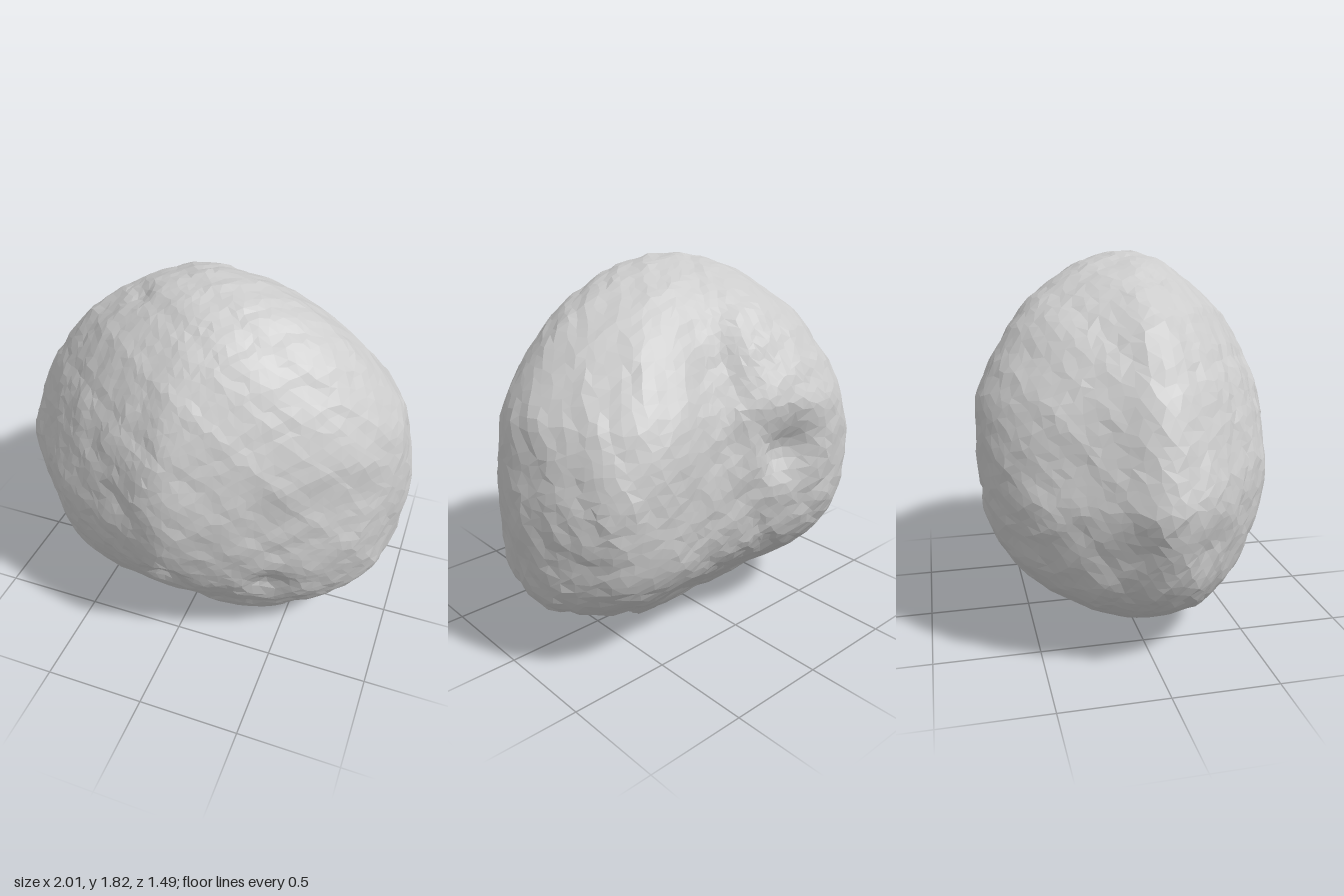
import * as THREE from 'three';

// Outline of the widest level, seen from above, as [x, z]
const PLAN = [
  [0, 0.74], [0.25, 0.66], [0.45, 0.56], [0.65, 0.44], [0.85, 0.26], [0.95, 0.1], [1, -0.1],
  [0.97, -0.3], [0.87, -0.48], [0.75, -0.6], [0.58, -0.64], [0.3, -0.62], [0.1, -0.66],
  [-0.15, -0.72], [-0.35, -0.75], [-0.55, -0.7], [-0.7, -0.58], [-0.8, -0.42], [-0.9, -0.2],
  [-1, 0], [-0.93, 0.18], [-0.8, 0.32], [-0.58, 0.53], [-0.4, 0.61], [-0.2, 0.69],
];

// Reach of the body at each height: [y, -x, +x, +z, -z]
const LEVELS = [
  [0.02, 0.17, 0.36, 0.17, 0.1], [0.05, 0.33, 0.5, 0.24, 0.17], [0.1, 0.48, 0.62, 0.32, 0.23],
  [0.2, 0.69, 0.78, 0.42, 0.34], [0.28, 0.79, 0.87, 0.48, 0.44], [0.34, 0.84, 0.92, 0.53, 0.51],
  [0.4, 0.88, 0.95, 0.58, 0.57], [0.5, 0.92, 0.97, 0.64, 0.64], [0.6, 0.95, 0.98, 0.69, 0.68],
  [0.8, 1, 1, 0.74, 0.72], [1, 0.94, 0.98, 0.74, 0.74], [1.2, 0.86, 0.94, 0.69, 0.73],
  [1.4, 0.73, 0.8, 0.58, 0.62], [1.6, 0.53, 0.59, 0.41, 0.47], [1.7, 0.37, 0.41, 0.28, 0.33],
  [1.76, 0.24, 0.26, 0.19, 0.2],
];

// Face of the big notch under the left side, as [y, x]
const NOTCH = [[0, 0.28], [0.02, 0.32], [0.1, 0.4], [0.16, 0.47], [0.23, 0.6], [0.27, 0.74], [0.31, 0.89], [0.36, 1.1]];

// Craters: [x, y, z, radius, depth]
const CRATERS = [
  [0, 0.5, 0.64, 0.14, 0.055], [0, 0.26, 0.47, 0.14, 0.045], [0.48, 0.49, 0.47, 0.17, 0.065],
  [-0.13, 0.98, -0.7, 0.21, 0.085], [-0.3, 1.68, 0.1, 0.1, 0.025], [-0.2, 0.93, 0.65, 0.14, 0.02],
  [0.4, 1.0, 0.52, 0.14, 0.02], [-0.85, 0.6, 0.2, 0.15, 0.02],
];

const { lerp } = THREE.MathUtils;
const circle = (y) => Math.sqrt(1 - ((y - 0.9) / 0.9) ** 2);
const RATIOS = LEVELS.map(([y, ...reach]) => [y, ...reach.map((r) => r / circle(y))]);

// Value of a column in a table sorted by height
function lookUp(table, y, column) {
  const i = table.findIndex((row) => row[0] > y);
  if (i === 0) return table[0][column];
  if (i < 0) return table[table.length - 1][column];
  const [a, b] = [table[i - 1], table[i]];
  return lerp(a[column], b[column], (y - a[0]) / (b[0] - a[0]));
}

// Radius of the plan outline for every degree around the y axis
function planRadii() {
  const points = new THREE.CatmullRomCurve3(PLAN.map(([x, z]) => new THREE.Vector3(x, 0, z)), true).getPoints(1440);
  const radii = [];
  for (let d = 0; d < 360; d++) {
    const c = Math.cos((d * Math.PI) / 180);
    const s = Math.sin((d * Math.PI) / 180);
    const along = (p) => (p.x * c + p.z * s) / p.length();
    const nearest = points.reduce((best, p) => (along(p) > along(best) ? p : best));
    radii.push(nearest.length());
  }
  return radii;
}

// Gentle lumps
function lumps(x, y, z) {
  let sum = 0;
  for (const [f, a] of [[5, 0.004], [10, 0.004], [19, 0.004], [33, 0.003]]) {
    sum += a * (Math.sin(f * x + 1.7 * f * z + f) * Math.cos(f * y * 1.2 - f * x * 0.6)
      + Math.sin(f * 1.1 * z - f * 0.8 * y + 2) * Math.cos(f * x + 0.5 * f * y));
  }
  return sum;
}

// Shift the sphere's vertices a little so the facets are uneven
function scatter(v) {
  const { x, y, z } = v;
  v.x += 0.014 * Math.sin(61 * y + 47 * z);
  v.y += 0.014 * Math.sin(53 * z + 67 * x + 1);
  v.z += 0.014 * Math.sin(59 * x + 43 * y + 2);
  return v.normalize();
}

function shapeBody(geometry) {
  const radii = planRadii();
  const pos = geometry.attributes.position;
  const centre = new THREE.Vector3(0, 0.9, 0);
  const p = new THREE.Vector3();
  const inward = new THREE.Vector3();
  for (let i = 0; i < pos.count; i++) {
    scatter(p.fromBufferAttribute(pos, i).normalize());
    const dy = p.y;
    const y = 0.9 + 0.9 * dy;
    const theta = Math.atan2(p.z, p.x);
    const c = Math.cos(theta);
    const s = Math.sin(theta);
    const deg = ((theta * 180) / Math.PI + 360) % 360;
    const d = Math.floor(deg) % 360;
    const plan = lerp(radii[d], radii[(d + 1) % 360], deg - Math.floor(deg));

    // The outline grows rounder towards the top and bottom, faster in front
    const oval = 1 / Math.hypot(c, s / 0.745);
    const round = Math.min(1, (0.6 + 0.9 * Math.max(0, s)) * dy * dy);
    let r = lerp(plan, oval, round) * Math.sqrt(Math.max(0, 1 - dy * dy));

    // Fuller corners below, two leaner corners above
    const corner = Math.sin(2 * theta);
    const lean = c > 0 ? 0.18 : 0.09;
    r *= dy < 0 ? 1 - 0.11 * dy * Math.abs(corner) : 1 - lean * dy * Math.max(0, -corner);
    p.set(
      c * r * lookUp(RATIOS, y, c < 0 ? 1 : 2),
      y,
      (s * r * lookUp(RATIOS, y, s > 0 ? 3 : 4)) / 0.745,
    );

    // Cut the notch, and let the underside dip towards it
    p.x = Math.min(p.x, lookUp(NOTCH, y, 1) + 0.15 * (p.z - 0.04) ** 2);
    p.y -= 0.12 * Math.max(0, p.x) * Math.max(0, -dy) ** 8;

    // Press in the craters, with a slight rim
    inward.copy(centre).sub(p).normalize();
    let push = -lumps(p.x, p.y, p.z);
    for (const [x, cy, z, radius, depth] of CRATERS) {
      const t = Math.hypot(p.x - x, p.y - cy, p.z - z) / radius;
      push += depth * (Math.exp(-3 * t * t) - 0.1 * Math.exp(-12 * (t - 1.05) ** 2));
    }

    // Groove down the upper back
    if (s < 0) push += 0.05 * s * s * Math.exp(-(((p.x - 0.22) / 0.15) ** 2) - ((p.y - 1.25) / 0.3) ** 2);
    p.addScaledVector(inward, push);
    pos.setXYZ(i, p.x, p.y, p.z);
  }
}

export function createModel() {
  const group = new THREE.Group();
  group.name = 'asteroid';

  // One faceted, cratered rock, standing on the ground
  const geometry = new THREE.IcosahedronGeometry(1, 20);
  shapeBody(geometry);
  geometry.computeVertexNormals();
  geometry.computeBoundingBox();
  geometry.translate(0, -geometry.boundingBox.min.y, 0);

  const rock = new THREE.Mesh(geometry, new THREE.MeshStandardMaterial({ color: 0xcccccc, flatShading: true }));
  rock.name = 'rockBody';
  group.add(rock);
  return group;
}
